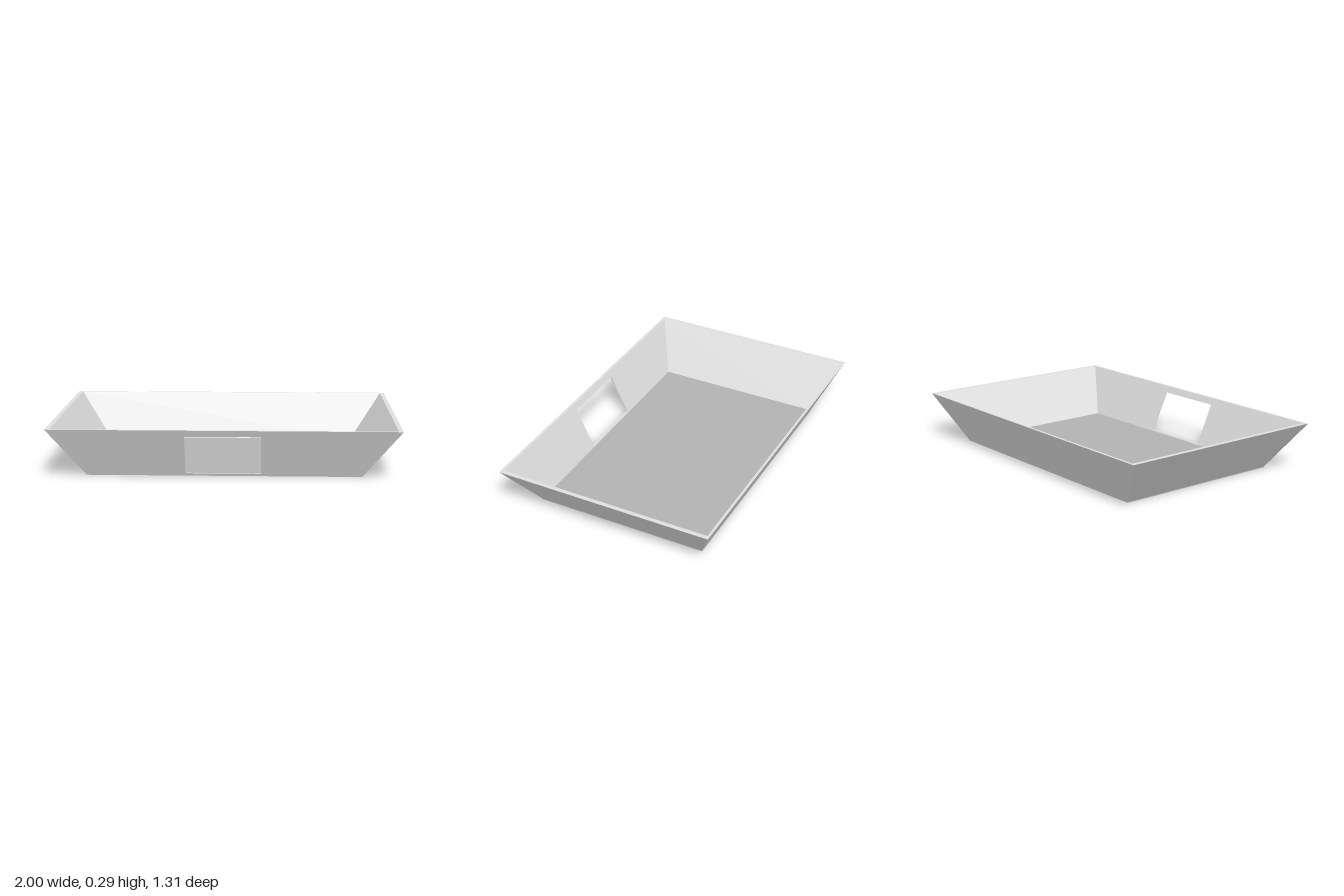
import * as THREE from 'three';

const H = 0.288, BASE = 0.005, FLOOR = 0.01;
// half sizes of the outer and inner skins at the bottom and the rim
const OUT = { x: [0.79, 1.0], z: [0.52, 0.655] };
const INN = { x: [0.776, 0.974], z: [0.508, 0.64] };
const at = (pair, y) => pair[0] + (pair[1] - pair[0]) * (y - BASE) / (H - BASE);

// One sloping, mitred wall: a slab bent onto the outer and inner skins.
function wallGeometry(along, across, hole) {
  const b = OUT[along][0], t = OUT[along][1];
  const shape = new THREE.Shape([[-b, BASE], [b, BASE], [t, H], [-t, H]].map(p => new THREE.Vector2(...p)));
  if (hole) {
    const [x0, x1, y0, y1] = hole;
    shape.holes.push(new THREE.Path([[x0, y0], [x0, y1], [x1, y1], [x1, y0]].map(p => new THREE.Vector2(...p))));
  }
  const geo = new THREE.ExtrudeGeometry(shape, { depth: 1, bevelEnabled: false });
  const pos = geo.attributes.position;
  for (let i = 0; i < pos.count; i++) {
    const u = pos.getX(i), y = pos.getY(i);
    const skin = pos.getZ(i) > 0.5 ? OUT : INN;
    const isEnd = Math.abs(u) > 0.45;
    pos.setXYZ(i, isEnd ? Math.sign(u) * at(skin[along], y) : u, y, at(skin[across], y));
  }
  geo.computeVertexNormals();
  return geo;
}

export function createModel() {
  const model = new THREE.Group();
  model.name = 'flaredTray';

  const wallGrey = new THREE.MeshStandardMaterial({ color: 0xdedede });
  wallGrey.name = 'light grey';
  const floorGrey = new THREE.MeshStandardMaterial({ color: 0xb2b2b2 });
  floorGrey.name = 'mid grey';

  // Walls, the front one with a rectangular opening
  const walls = [
    ['frontWall', 'x', 'z', 0, [-0.22, 0.21, 0.015, 0.25]],
    ['leftWall', 'z', 'x', Math.PI / 2],
    ['backWall', 'x', 'z', Math.PI],
    ['rightWall', 'z', 'x', -Math.PI / 2],
  ];
  for (const [name, along, across, turn, hole] of walls) {
    const wall = new THREE.Mesh(wallGeometry(along, across, hole), wallGrey);
    wall.name = name;
    wall.rotation.y = turn;
    model.add(wall);
  }

  // Floor plate under the walls
  const floor = new THREE.Mesh(new THREE.BoxGeometry(OUT.x[0] * 2, FLOOR, OUT.z[0] * 2), floorGrey);
  floor.name = 'floorPlate';
  floor.position.y = FLOOR / 2;
  model.add(floor);

  return model;
}
